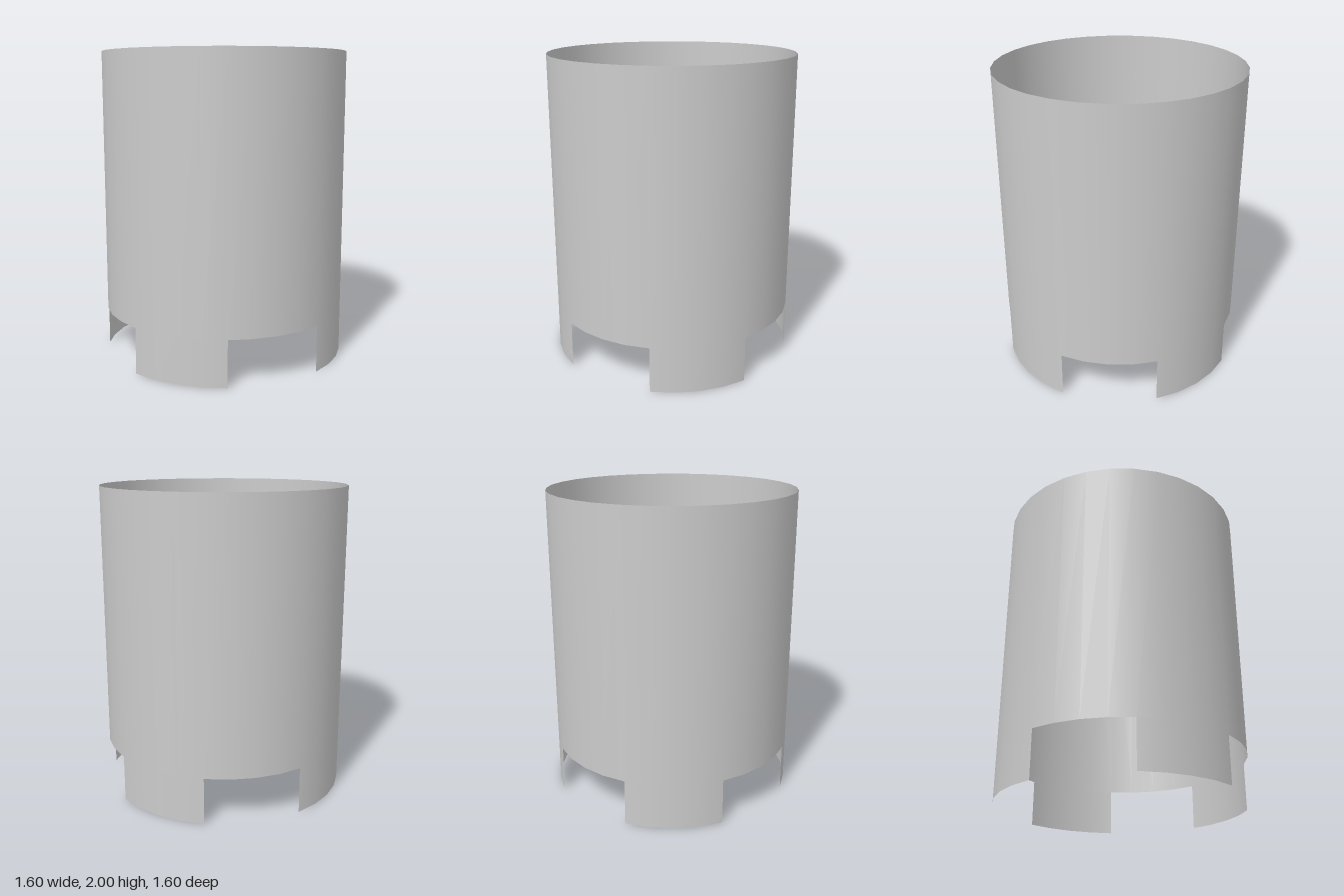
import * as THREE from 'three';

const RADIUS = 0.8, HEIGHT = 2, NOTCH = 0.3, SEGMENTS = 32;

export function createModel() {
  const group = new THREE.Group();
  group.name = 'notchedSleeve';
  const material = new THREE.MeshStandardMaterial({ color: 0xcccccc, side: THREE.DoubleSide });

  // Open, paper-thin band of the sleeve wall between two heights
  function addWall(name, bottom, top, segments, start, sweep) {
    const geometry = new THREE.CylinderGeometry(RADIUS, RADIUS, top - bottom, segments, 1, true, start, sweep);
    const mesh = new THREE.Mesh(geometry, material);
    mesh.name = name;
    mesh.position.y = (bottom + top) / 2;
    group.add(mesh);
  }

  // Full round wall above the notches
  addWall('sleeveWall', NOTCH, HEIGHT, SEGMENTS, 0, Math.PI * 2);

  // Four tabs, each an eighth of the circle, on the diagonals
  ['frontLeftTab', 'backLeftTab', 'backRightTab', 'frontRightTab'].forEach((name, i) => {
    addWall(name, 0, NOTCH, SEGMENTS / 8, Math.PI / 8 + i * Math.PI / 2, Math.PI / 4);
  });

  return group;
}
